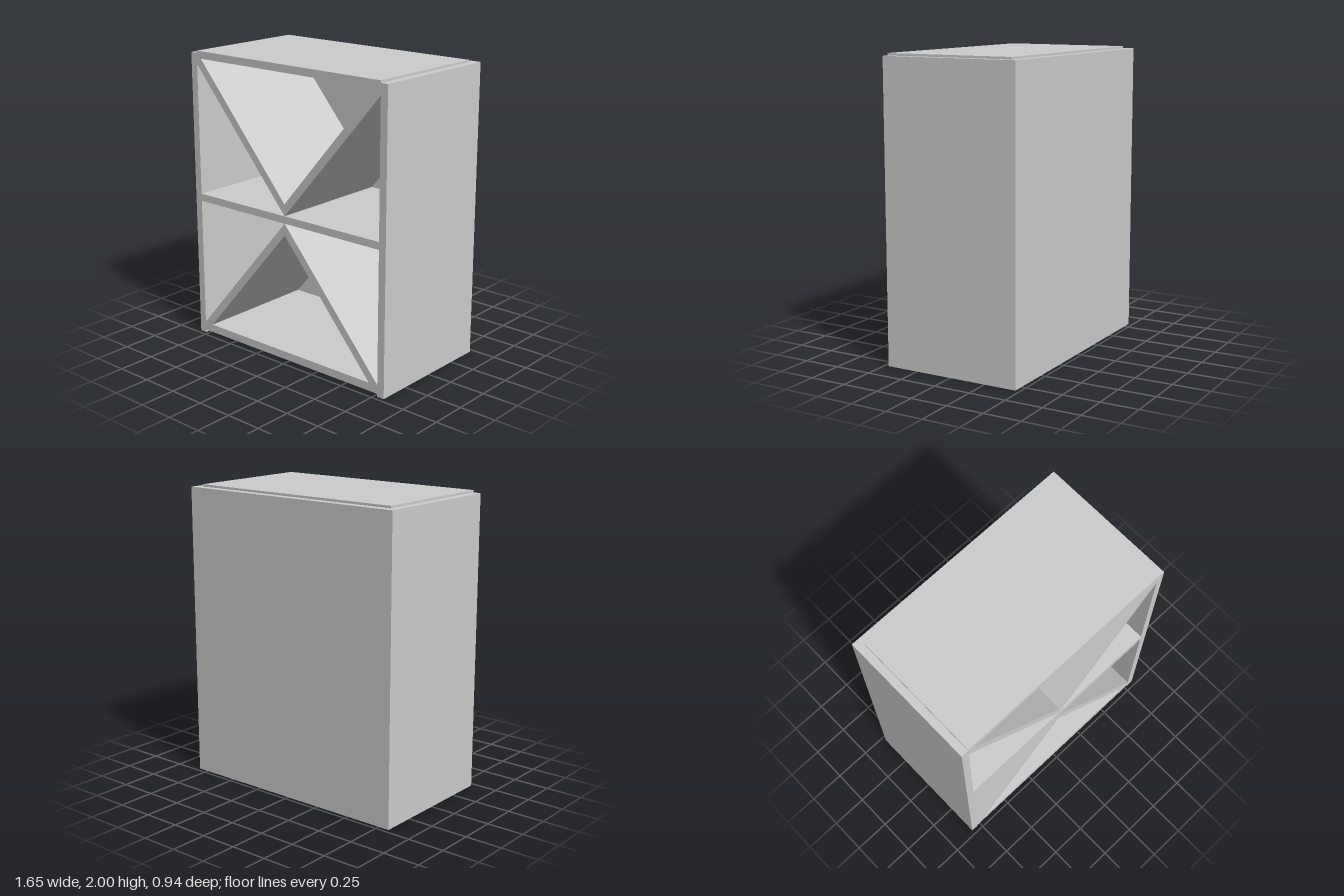
import * as THREE from 'three';

const INNER = 0.773, OUTER = 0.825;   // half widths inside and outside the walls
const FRONT = 0.47, BACK = -0.47, PANEL = -0.415; // PANEL: inner face of the back
const HEIGHT = 1.985;

export function createModel() {
  const group = new THREE.Group();
  const material = new THREE.MeshStandardMaterial({ color: 0xcccccc });

  const add = (name, geometry) => {
    const mesh = new THREE.Mesh(geometry, material);
    mesh.name = name;
    group.add(mesh);
  };

  const extrude = (points, depth) => new THREE.ExtrudeGeometry(
    new THREE.Shape(points.map(([x, y]) => new THREE.Vector2(x, y))),
    { depth, bevelEnabled: false });

  // Horizontal board between the walls, running from the back panel to the front
  const board = (name, y0, y1) => {
    const geometry = new THREE.BoxGeometry(2 * INNER, y1 - y0, FRONT - PANEL);
    geometry.translate(0, (y0 + y1) / 2, (FRONT + PANEL) / 2);
    add(name, geometry);
  };

  // V-shaped divider: right half of its outline, from outer apex to inner apex, is mirrored
  const divider = (name, half) => {
    const inner = half.slice(1, -1).reverse().map(([x, y]) => [-x, y]);
    const left = inner.reverse();
    const outline = [...half, ...left.reverse()];
    const geometry = extrude(outline, FRONT - PANEL);
    geometry.translate(0, 0, PANEL);
    add(name, geometry);
  };

  // Side walls and back panel: one U-shaped plan raised to full height
  const shell = extrude([
    [-OUTER, -FRONT], [-INNER, -FRONT], [-INNER, -PANEL], [INNER, -PANEL],
    [INNER, -FRONT], [OUTER, -FRONT], [OUTER, -BACK], [-OUTER, -BACK],
  ], HEIGHT);
  shell.rotateX(-Math.PI / 2);
  add('sidesAndBack', shell);

  // The top stands slightly proud of the walls, the bottom is slightly recessed
  board('topBoard', 1.95, 2);
  board('middleShelf', 0.97, 1.02);
  board('bottomBoard', 0.02, 0.075);

  // Slanted dividers of the two compartments
  divider('upperDivider', [[0, 1.02], [INNER, 1.91], [INNER, 1.95], [0.735, 1.95], [0, 1.1]]);
  divider('lowerDivider', [[0, 0.97], [INNER, 0.08], [INNER, 0.075], [0.705, 0.075], [0, 0.89]]);

  return group;
}
